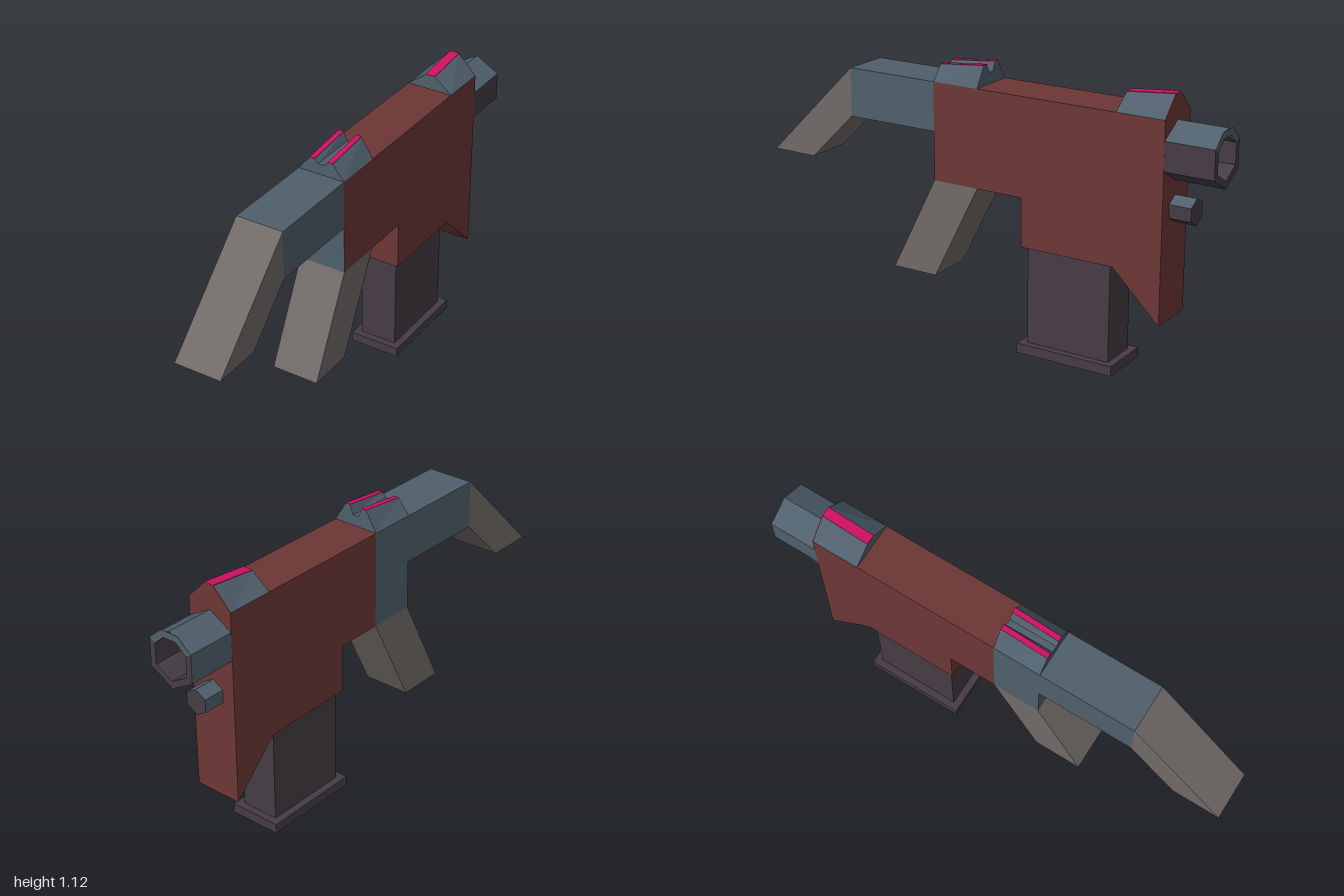
import * as THREE from 'three';

const material = (name, color) => {
  const m = new THREE.MeshStandardMaterial({ color });
  m.name = name;
  return m;
};

export function createModel() {
  const red = material('bodyRed', 0x6c3636);
  const slate = material('slateBlue', 0x4f5f6b);
  const grey = material('gripGrey', 0x706a67);
  const dark = material('darkMetal', 0x453c43);
  const pink = material('sightPink', 0xd01062);

  const model = new THREE.Group();
  model.name = 'blaster';
  const add = (name, geometry, mat, parent = model) => {
    const mesh = new THREE.Mesh(geometry, mat);
    mesh.name = name;
    parent.add(mesh);
    return mesh;
  };
  const group = (name) => {
    const g = new THREE.Group();
    g.name = name;
    model.add(g);
    return g;
  };
  const shapeOf = (pts) => new THREE.Shape(pts.map(([x, y]) => new THREE.Vector2(x, y)));

  // Side profile given as [z, y], extruded across the width
  const slab = (pts, width = 0.2) => {
    const g = new THREE.ExtrudeGeometry(shapeOf(pts.map(([z, y]) => [-z, y])), { depth: width, bevelEnabled: false });
    return g.translate(0, 0, -width / 2).rotateY(Math.PI / 2);
  };
  // Box given by its half width and its y and z ranges
  const box = (halfX, y0, y1, z0, z1) =>
    new THREE.BoxGeometry(halfX * 2, y1 - y0, z1 - z0).translate(0, (y0 + y1) / 2, (z0 + z1) / 2);

  // Body with a stepped underside and a pointed front guard
  add('body', slab([[0, 0.64], [0, 1.04], [-0.8, 1.04], [-0.8, 0.245], [-0.6, 0.44], [-0.2, 0.44], [-0.2, 0.64]]), red);
  add('rearBody', box(0.1, 0.64, 1.04, 0, 0.2), [red, slate, red, red, slate, red]);

  // Stock arm and the two slanted grips
  add('stockArm', box(0.1, 0.84, 1.04, 0.2, 0.6), slate);
  add('stock', slab([[0.6, 1.04], [0.6, 0.84], [0.8, 0.64], [1, 0.64]]), grey);
  add('grip', slab([[0, 0.64], [0.2, 0.24], [0.4, 0.24], [0.2, 0.64]]), grey);

  // Magazine
  add('magazine', box(0.08, 0.04, 0.44, -0.58, -0.22), dark);
  add('magazineBase', box(0.11, 0, 0.04, -0.61, -0.19), dark);

  // Hexagonal tubes; the angle runs from the top towards +x
  const rad = THREE.MathUtils.degToRad;
  const hexSides = (r, length, start, sweep) => {
    const g = new THREE.CylinderGeometry(r, r, length, sweep / 60, 1, true, rad(start), rad(sweep)).toNonIndexed();
    g.rotateX(-Math.PI / 2).computeVertexNormals();
    return g.translate(0, 0, -length / 2);
  };
  const ring = (inner, outer, start, sweep, z) =>
    new THREE.RingGeometry(inner, outer, sweep / 60, 1, rad(start), rad(sweep)).rotateY(Math.PI).translate(0, 0, z);
  const tube = (name, r, length, y) => {
    const g = group(name);
    g.position.set(0, y, -0.8);
    add(name + 'UpperSides', hexSides(r, length, 240, 180), slate, g);
    add(name + 'LowerSides', hexSides(r, length, 60, 180), dark, g);
    return g;
  };

  // Hollow main barrel
  const barrel = tube('barrel', 0.115, 0.2, 0.905);
  add('muzzleTop', ring(0.085, 0.115, 30, 120, -0.2), slate, barrel);
  add('muzzleBottom', ring(0.085, 0.115, 150, 240, -0.2), dark, barrel);
  const bore = hexSides(0.085, 0.2, 0, 360).scale(-1, 1, 1);
  const n = bore.attributes.normal;
  for (let i = 0; i < n.count; i++) n.setXYZ(i, -n.getX(i), -n.getY(i), n.getZ(i));
  add('bore', bore, dark, barrel);
  add('boreEnd', ring(0, 0.085, 30, 360, -0.002), dark, barrel);

  // Solid small tube beneath
  const rod = tube('lowerRod', 0.053, 0.09, 0.682);
  add('lowerRodEnd', ring(0, 0.053, 30, 360, -0.09), dark, rod);

  // Sights: [x, y] profiles run along z, their tops rising towards the muzzle
  const sight = (pts, z0, z1, zLow) => {
    const g = new THREE.ExtrudeGeometry(shapeOf(pts), { depth: z1 - z0, bevelEnabled: false }).translate(0, 0, z0);
    const p = g.attributes.position;
    for (let i = 0; i < p.count; i++) {
      if (p.getY(i) > 1.09) p.setY(i, p.getY(i) + (zLow - p.getZ(i)) * 0.1);
    }
    g.computeVertexNormals();
    return g;
  };
  const strip = (x0, x1) => [[x0, 1.098], [x1, 1.098], [x1, 1.102], [x0, 1.102]];

  const frontSight = group('frontSight');
  const blade = [[-0.1, 1.04], [0.1, 1.04], [0.021, 1.1], [-0.021, 1.1]];
  add('frontSightBlock', sight(blade, -0.796, -0.6, -0.6), slate, frontSight);
  add('frontSightEnd', sight(blade, -0.8, -0.796, -0.6), red, frontSight);
  add('frontSightStrip', sight(strip(-0.021, 0.021), -0.8, -0.6, -0.6), pink, frontSight);

  const rearSight = group('rearSight');
  const notch = [[-0.1, 1.04], [0.1, 1.04], [0.05, 1.1], [0.028, 1.1], [0.013, 1.083],
    [-0.013, 1.083], [-0.028, 1.1], [-0.05, 1.1]];
  add('rearSightBlock', sight(notch, 0, 0.2, 0.2), slate, rearSight);
  add('rearSightStripLeft', sight(strip(0.028, 0.05), 0, 0.2, 0.2), pink, rearSight);
  add('rearSightStripRight', sight(strip(-0.05, -0.028), 0, 0.2, 0.2), pink, rearSight);

  return model;
}
